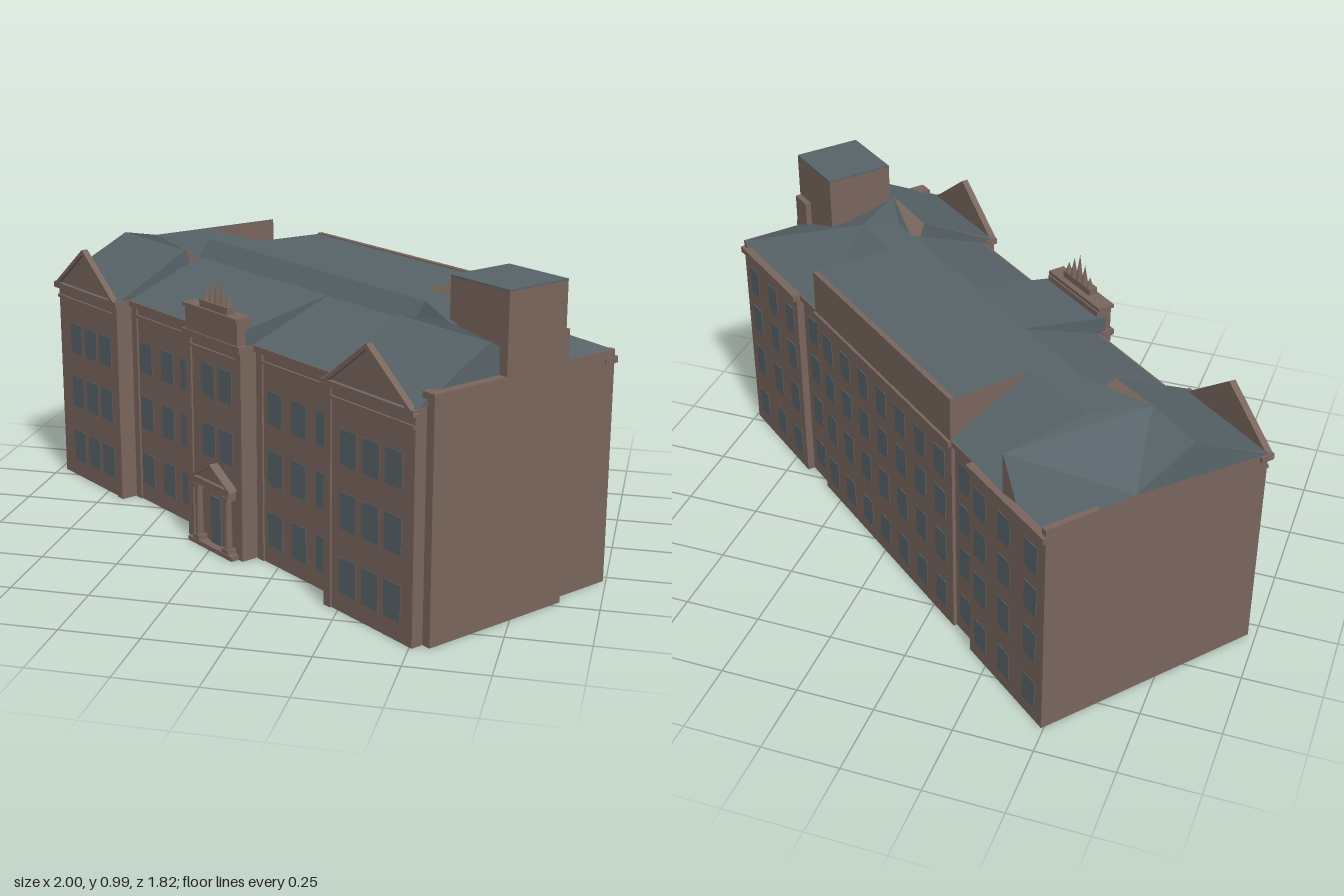
import * as THREE from 'three';

export function createModel() {
  const model = new THREE.Group();
  model.name = 'building';
  const mat = (name, color, side = THREE.FrontSide) => {
    const m = new THREE.MeshStandardMaterial({ color, side });
    m.name = name;
    return m;
  };
  const stone = mat('brownStone', 0x79665d, THREE.DoubleSide);
  const slate = mat('slate', 0x576368, THREE.DoubleSide);

  const add = (name, geo, material, x = 0, y = 0, z = 0) => {
    const mesh = new THREE.Mesh(geo, material);
    mesh.name = name;
    mesh.position.set(x, y, z);
    model.add(mesh);
    return mesh;
  };
  // Box given by its limits on each axis
  const box = (name, x0, x1, y0, y1, z0, z1, material = stone) =>
    add(name, new THREE.BoxGeometry(x1 - x0, y1 - y0, z1 - z0), material,
      (x0 + x1) / 2, (y0 + y1) / 2, (z0 + z1) / 2);
  // Flat-shaded surface made from polygons, each fanned into upward triangles
  const surface = (name, polys, material) => {
    const pos = [];
    for (const p of polys)
      for (let i = 1; i < p.length - 1; i++) {
        const [a, b, c] = [p[0], p[i], p[i + 1]];
        const ny = (b[2] - a[2]) * (c[0] - a[0]) - (b[0] - a[0]) * (c[2] - a[2]);
        pos.push(...a, ...(ny < 0 ? [...c, ...b] : [...b, ...c]));
      }
    const g = new THREE.BufferGeometry();
    g.setAttribute('position', new THREE.Float32BufferAttribute(pos, 3));
    g.computeVertexNormals();
    return add(name, g, material);
  };

  // Walls: stepped footprint, listed as [x, z]
  const half = [[0.15, 0.375], [0.15, 0.32], [0.56, 0.32], [0.56, 0.375], [0.95, 0.375],
    [0.95, -0.4], [0.55, -0.4], [0.55, -0.375], [0.43, -0.375], [0.43, -0.387]];
  const outline = [...half, ...half.map(([x, z]) => [-x, z]).reverse()];
  const footprint = new THREE.Shape(outline.map(([x, z]) => new THREE.Vector2(x, -z)));
  add('walls', new THREE.ExtrudeGeometry(footprint, { depth: 0.7, bevelEnabled: false }).rotateX(-Math.PI / 2), stone);

  // Cornices and string courses
  const fronts = [[-0.96, -0.555, 0.375], [-0.555, -0.155, 0.32], [-0.155, 0.155, 0.375],
    [0.155, 0.555, 0.32], [0.555, 0.955, 0.375]];
  for (const [a, b, z] of fronts) {
    box('frontCornice', a, b, 0.68, 0.7, z - 0.03, z + 0.015);
    box('frontFrieze', a + 0.01, b - 0.005, 0.645, 0.655, z - 0.03, z + 0.007);
  }
  const backs = [[-0.953, -0.55, -0.4], [-0.55, -0.43, -0.375], [-0.43, 0.43, -0.387],
    [0.43, 0.55, -0.375], [0.55, 0.953, -0.4]];
  for (const [a, b, z] of backs) box('backCornice', a, b, 0.695, 0.715, z - 0.012, z + 0.04);
  for (const s of [-1, 1]) {
    const x = s * 0.94;
    box('endParapet', x - 0.01, x + 0.01, 0.69, 0.738, -0.4, 0.3);
    // Pilasters where the front steps
    for (const [u, z] of [[0.575, 0.375], [0.54, 0.32], [0.17, 0.32], [0.135, 0.375]])
      box('pilaster', s * u - 0.015, s * u + 0.015, 0, 0.68, z - 0.01, z + 0.006);
  }

  // Roof ends, mirrored; the crown differs between left and right
  const roof = [], cheeks = [], crown = {};
  for (const s of [-1, 1]) {
    const peak = [s * 0.757, 0.86, 0.09];
    const mid = [s * (s < 0 ? 0.7 : 0.62), 0.865, -0.1];
    const inner = [s * 0.56, 0.84, 0.1], outer = [s * 0.945, 0.84, 0.1];
    const ridge = [s * 0.56, 0.81, 0.045], side = [s * 0.95, 0.74, -0.1];
    const corner = [s * 0.95, 0.735, -0.4];
    const crest = [s * 0.56, 0.867, 0.0];
    const top = [s * 0.43, 0.865, -0.115], back = [s * 0.43, 0.858, -0.375], foot = [s * 0.43, 0.72, -0.385];
    crown[s] = { ridge, crest, top, back };
    roof.push(
      // front slope of the wing, with its ends
      [[s * 0.555, 0.7, 0.38], [s * 0.953, 0.7, 0.38], outer, inner],
      [[s * 0.56, 0.7, 0.37], inner, [s * 0.56, 0.7, 0.045]],
      [[s * 0.953, 0.7, 0.375], side, outer],
      [outer, inner, peak], [outer, side, peak],
      [ridge, crest, peak], [peak, crest, mid], [crest, top, mid],
      // slope over the recessed front
      [[s * 0.15, 0.7, 0.33], [s * 0.555, 0.7, 0.33], ridge, [s * 0.15, 0.81, 0.045]],
      // cheek of the centre roof
      [[s * 0.15, 0.7, 0.36], [s * 0.15, 0.75, 0.36], [s * 0.15, 0.812, 0.045], [s * 0.15, 0.7, 0.045]]);
    cheeks.push([inner, ridge, peak], [top, back, foot]);
    if (s > 0) {
      roof.push([side, corner, mid, peak], [mid, corner, foot, top]);
    } else {
      // upright fin at the back of the left wing
      const finTop = [-0.73, 0.86, -0.4], finFoot = [-0.73, 0.725, -0.4], finSide = [-0.8, 0.735, -0.4];
      roof.push([side, corner, finSide, finTop, peak], [peak, finTop, mid], [mid, finFoot, foot, top]);
      cheeks.push([mid, finTop, finFoot], [finSide, finTop, finFoot]);
    }
  }
  const L = crown[-1], R = crown[1];
  roof.push([L.ridge, R.ridge, R.crest, L.crest], [L.crest, R.crest, R.top, L.top], [L.top, R.top, R.back, L.back],
    [[-0.15, 0.75, 0.36], [0.15, 0.75, 0.36], [0.15, 0.812, 0.045], [-0.15, 0.812, 0.045]]);
  surface('roof', roof, slate);
  surface('roofCheeks', cheeks, stone);

  // Raised attic wall along the back
  box('atticWall', -0.43, 0.43, 0.7, 0.862, -0.39, -0.373);

  // End tower with its projecting shaft
  box('towerShaft', 0.93, 0.98, 0, 0.742, -0.18, 0.335);
  box('tower', 0.742, 0.98, 0.68, 0.985, -0.16, 0.068);
  box('towerRoof', 0.742, 0.98, 0.985, 0.99, -0.16, 0.068, slate);
  box('towerButtress', 0.9, 0.975, 0.7, 0.84, -0.18, -0.16);

  // Pediment: solid triangle with a raised frame
  const pediment = (name, x, y, z, w, h, rim, depth) => {
    const tri = (k, Type, lift = 0) => new Type([[-w / 2 * k, lift], [w / 2 * k, lift], [0, lift + h * k]]
      .map(p => new THREE.Vector2(...p)));
    const frame = tri(1, THREE.Shape);
    frame.holes.push(tri(1 - rim, THREE.Path, h * rim * 0.35));
    add(name, new THREE.ExtrudeGeometry(tri(0.98, THREE.Shape), { depth, bevelEnabled: false }), stone, x, y, z);
    add(name + 'Frame', new THREE.ExtrudeGeometry(frame, { depth: depth + 0.012, bevelEnabled: false }), stone, x, y, z);
  };
  for (const x of [-0.76, 0.755]) pediment('wingPediment', x, 0.69, 0.368, 0.405, 0.155, 0.16, 0.01);

  // Centre attic with crest
  box('centreAttic', -0.14, 0.14, 0.7, 0.775, 0.33, 0.385);
  box('centreAtticCap', -0.145, 0.145, 0.775, 0.787, 0.335, 0.393);
  box('crestBase', -0.06, 0.09, 0.787, 0.81, 0.355, 0.385);
  for (const [x, h] of [[-0.045, 0.04], [-0.015, 0.07], [0.015, 0.095], [0.045, 0.07], [0.075, 0.04]])
    add('crestSpike', new THREE.ConeGeometry(0.014, h, 6), stone, x, 0.805 + h / 2, 0.367);

  // Windows: thin slate-coloured panes
  const pane = (x, y0, y1, z, w) => box('window', x - w / 2, x + w / 2, y0, y1, z - 0.002, z + 0.002, slate);
  const frontRows = [[0.06, 0.172], [0.262, 0.375], [0.458, 0.565]];
  for (const [y0, y1] of frontRows) {
    for (const x of [-0.842, -0.745, -0.65, 0.665, 0.765, 0.863]) pane(x, y0, y1, 0.375, 0.073);
    for (const x of [-0.48, -0.352, -0.235, 0.243, 0.362, 0.485]) pane(x, y0, y1, 0.32, 0.072);
  }
  for (const [y0, y1] of [[0.3, 0.408], [0.5, 0.605]])
    for (const x of [-0.033, 0.06]) pane(x, y0, y1, 0.375, 0.068);
  for (const [y0, y1] of [[0.05, 0.148], [0.227, 0.335], [0.4, 0.5], [0.552, 0.65]]) {
    pane(0, y0, y1, -0.387, 0.062);
    for (const s of [-1, 1]) {
      for (const x of [0.12, 0.24, 0.36]) pane(s * x, y0, y1, -0.387, 0.062);
      pane(s * 0.485, y0, y1, -0.375, 0.062);
      for (const x of [0.61, 0.74, 0.88]) pane(s * x, y0, y1, -0.4, 0.062);
    }
  }

  // Entrance porch
  box('doorFrame', -0.035, 0.055, 0, 0.19, 0.37, 0.38);
  box('door', -0.017, 0.037, 0.015, 0.175, 0.376, 0.384, slate);
  box('porchStep', -0.11, 0.13, 0, 0.015, 0.37, 0.41);
  box('porchBeam', -0.09, 0.11, 0.205, 0.225, 0.37, 0.405);
  pediment('porchPediment', 0.01, 0.225, 0.37, 0.22, 0.065, 0.2, 0.025);
  for (const x of [-0.07, 0.09]) {
    add('porchColumn', new THREE.CylinderGeometry(0.011, 0.014, 0.19, 10), stone, x, 0.11, 0.392);
    box('columnBase', x - 0.018, x + 0.018, 0.015, 0.03, 0.376, 0.408);
    box('columnCapital', x - 0.017, x + 0.017, 0.19, 0.205, 0.376, 0.408);
  }

  // The whole building stands turned on its plot
  model.rotation.y = -0.674;
  const group = new THREE.Group();
  group.name = 'turnedBuilding';
  group.add(model);
  return group;
}
